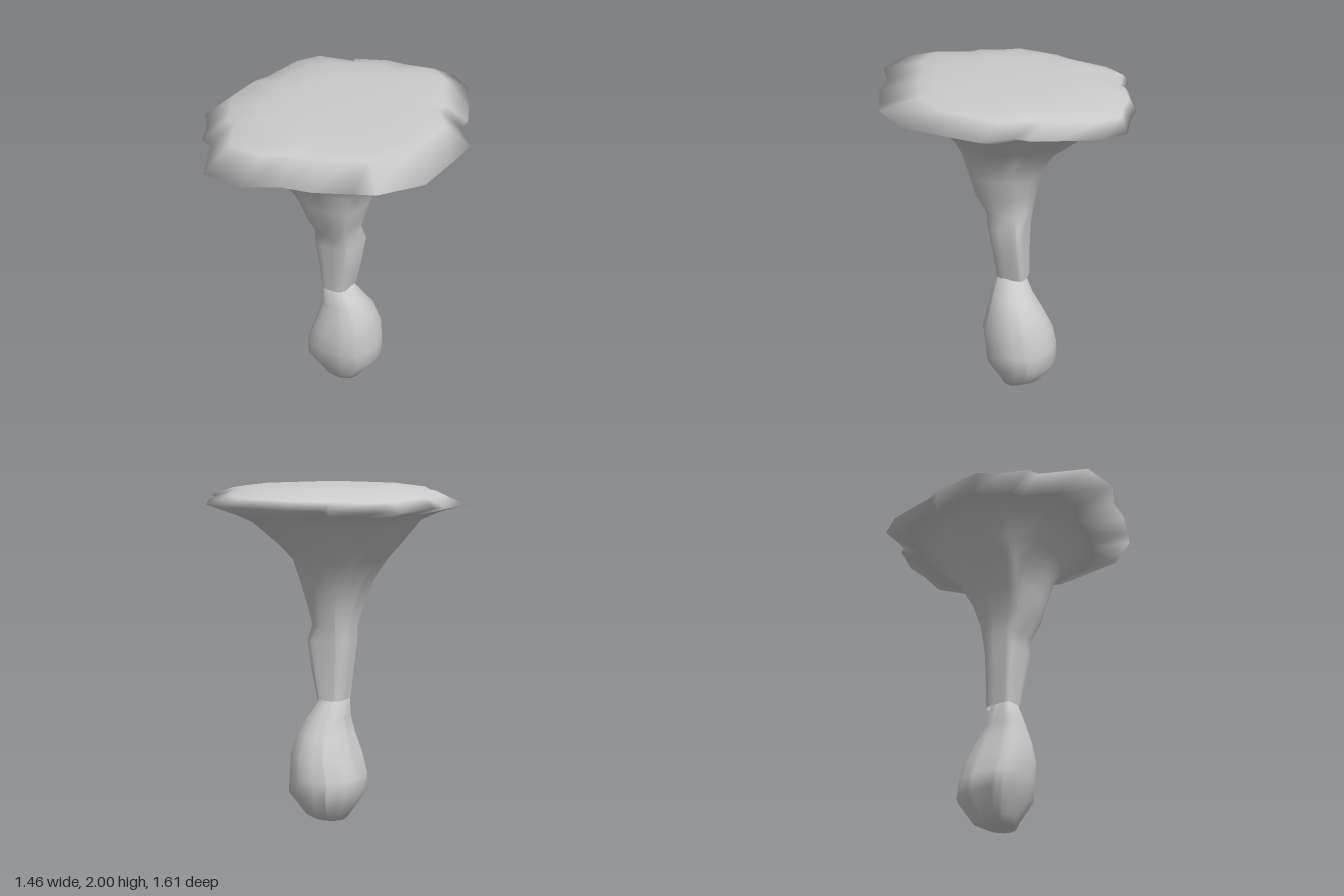
import * as THREE from 'three';

// Ragged rim of the cap as [x, z], running from +x towards +z
const rim = [
  [0.73, -0.14], [0.72, 0.05], [0.70, 0.31], [0.53, 0.52], [0.42, 0.57], [0.23, 0.66], [0.05, 0.70],
  [-0.12, 0.80], [-0.37, 0.79], [-0.50, 0.54], [-0.58, 0.51], [-0.64, 0.38], [-0.73, 0.27],
  [-0.72, -0.03], [-0.68, -0.12], [-0.63, -0.43], [-0.53, -0.58], [-0.28, -0.63], [-0.28, -0.67],
  [-0.07, -0.76], [0.08, -0.77], [0.28, -0.81], [0.42, -0.72], [0.54, -0.50], [0.60, -0.37], [0.60, -0.29],
];

// Corner exponents (1 is round, lower is squarer): left front, right front, right back, left back
const ROUND = [1, 1, 1, 1], BULB = [1, 0.55, 0.9, 1], NECK = [0.75, 0.4, 0.6, 0.4], FLARE = [0.65, 0.5, 0.65, 0.95];

const power = (v, p) => Math.sign(v) * Math.abs(v) ** p;

// Oval ring from its extents; ripple carries some of the rim's raggedness into it
const oval = (corners) => ([y, x0, x1, z0, z1, ripple = 0]) => rim.map(([x, z]) => {
  const a = Math.atan2(z, x);
  const s = 1 + ripple * (Math.hypot(x, z) / 0.73 - 1);
  const p = corners[z >= 0 ? (x >= 0 ? 0 : 1) : (x < 0 ? 2 : 3)];
  return [
    (x0 + x1) / 2 + ((x1 - x0) / 2) * s * power(Math.cos(a), p), y,
    (z0 + z1) / 2 + ((z1 - z0) / 2) * s * power(Math.sin(a), p),
  ];
});

// Ring that follows the rim, scaled, shifted and tilted
const rimRing = (scale, dx, dz, y, tiltX, tiltZ) => rim.map(([x, z]) =>
  [x * scale + dx, y + tiltX * x + tiltZ * z, z * scale + dz]);

// Skin a stack of rings from bottom to top
function loft(name, rings, material) {
  const n = rim.length, index = [];
  for (let i = 0; i < rings.length - 1; i++) {
    for (let j = 0; j < n; j++) {
      const a = i * n + j, b = i * n + (j + 1) % n, c = a + n, d = b + n;
      index.push(a, c, b, b, c, d);
    }
  }
  const geometry = new THREE.BufferGeometry();
  geometry.setAttribute('position', new THREE.Float32BufferAttribute(rings.flat(2), 3));
  geometry.setIndex(index);
  geometry.computeVertexNormals();
  const mesh = new THREE.Mesh(geometry, material);
  mesh.name = name;
  return mesh;
}

export function createModel() {
  const group = new THREE.Group();
  group.name = 'mushroom';
  const material = new THREE.MeshStandardMaterial({ color: 0xcccccc, side: THREE.DoubleSide });

  // Swollen foot: y, min x, max x, min z, max z
  const bulb = [
    [0, -0.03, -0.03, -0.08, -0.08],
    [0.01, -0.12, 0.08, -0.16, 0.01],
    [0.05, -0.15, 0.11, -0.24, 0.03],
    [0.18, -0.235, 0.205, -0.33, 0.10],
    [0.28, -0.23, 0.203, -0.32, 0.11],
    [0.40, -0.19, 0.20, -0.305, 0.12],
    [0.53, -0.145, 0.17, -0.24, 0.09],
    [0.62, -0.12, 0.12, -0.18, 0.07],
    [0.74, -0.115, 0.04, -0.115, 0.045],
    [0.78, -0.04, -0.04, -0.04, -0.04],
  ];
  group.add(loft('bulb', bulb.map(oval(BULB)), material));

  // Stem, flaring into the underside, then over the rim to the flat top
  const neck = [
    [0.73, -0.117, 0.042, -0.14, 0.05],
    [0.90, -0.13, 0.08, -0.14, 0.065],
    [1.08, -0.145, 0.11, -0.145, 0.09],
  ];
  const flare = [
    [1.17, -0.15, 0.095, -0.16, 0.10],
    [1.28, -0.17, 0.13, -0.18, 0.16],
    [1.42, -0.22, 0.17, -0.22, 0.195],
    [1.56, -0.31, 0.21, -0.29, 0.24, 0.2],
  ];
  const underside = [
    [1.66, -0.42, 0.31, -0.39, 0.32, 0.6],
    [1.79, -0.52, 0.47, -0.51, 0.41, 0.8],
    [1.835, -0.61, 0.54, -0.60, 0.50, 1],
  ];
  const top = [
    [1.985, -0.48, 0.45, -0.54, 0.41, 0.4],
    [1.995, -0.30, 0.26, -0.33, 0.25],
    [2.0, -0.02, -0.02, -0.03, -0.03],
  ];
  group.add(loft('stemAndCap', [
    ...neck.map(oval(NECK)), ...flare.map(oval(FLARE)), ...underside.map(oval(ROUND)),
    rimRing(1, 0, 0, 1.895, 0.035, 0.015),
    rimRing(0.82, -0.05, -0.08, 1.95, 0.03, 0.025),
    ...top.map(oval(ROUND)),
  ], material));

  return group;
}
